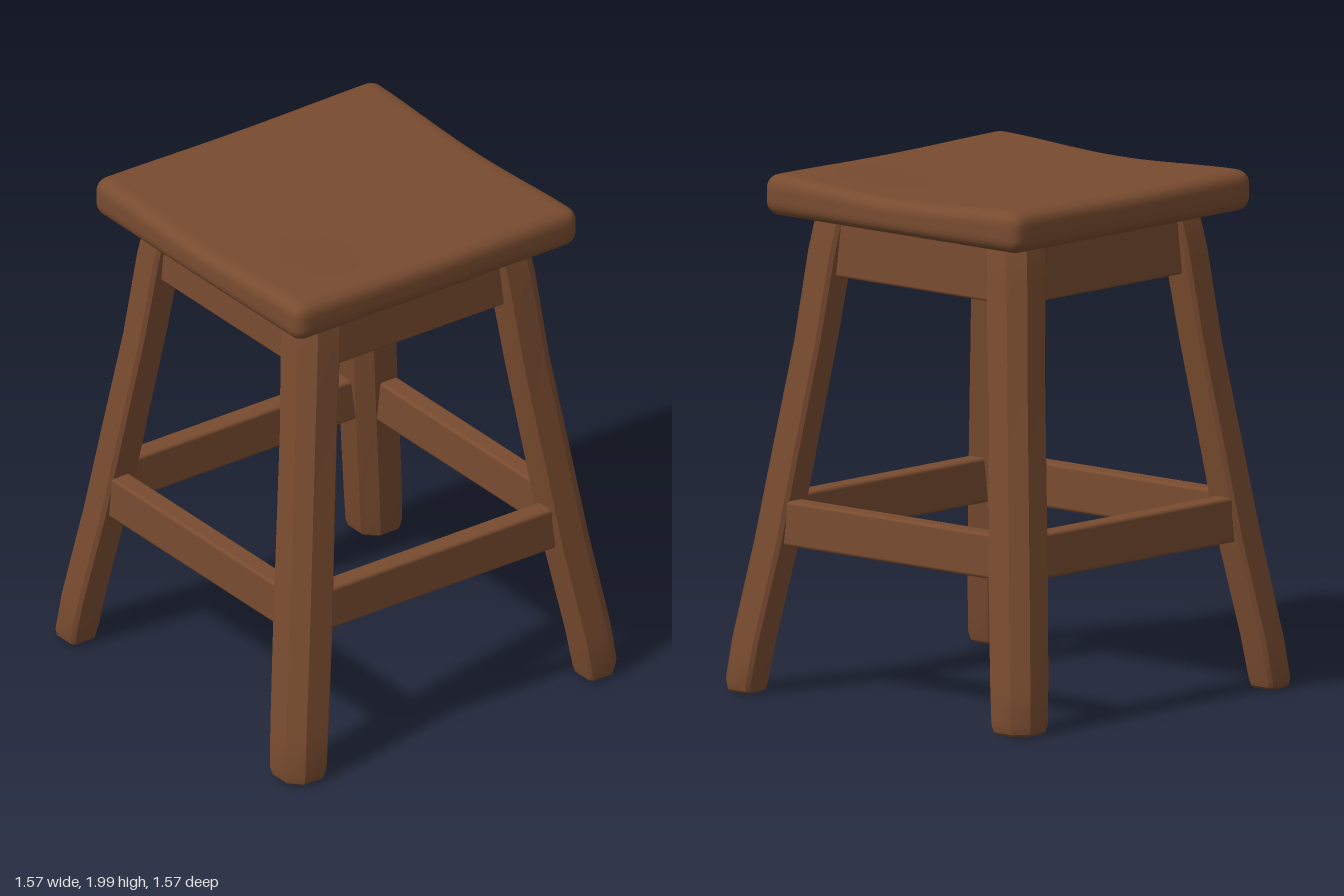
import * as THREE from 'three';
import { mergeVertices, toCreasedNormals } from 'three/addons/utils/BufferGeometryUtils.js';
import { RoundedBoxGeometry } from 'three/addons/geometries/RoundedBoxGeometry.js';

const wood = new THREE.MeshStandardMaterial({ color: 0x784b2f });
wood.name = 'brownWood';

function part(name, geometry) {
  const mesh = new THREE.Mesh(geometry, wood);
  mesh.name = name;
  return mesh;
}

// Rounded slab whose top dips gently between its left and right sides
function seatGeometry() {
  const half = new THREE.Vector3(0.658, 0.08, 0.672), r = 0.055;
  const inner = half.clone().subScalar(r);
  let geo = new THREE.BoxGeometry(half.x * 2, half.y * 2, half.z * 2, 56, 10, 56);
  geo.deleteAttribute('normal');
  geo.deleteAttribute('uv');
  geo = mergeVertices(geo);
  const pos = geo.attributes.position, p = new THREE.Vector3(), core = new THREE.Vector3();
  for (let i = 0; i < pos.count; i++) {
    p.fromBufferAttribute(pos, i);
    core.copy(p).clamp(inner.clone().negate(), inner);
    p.sub(core).setLength(r).add(core);
    const wave = (v, h) => Math.cos((v / h) * Math.PI / 2) ** 2;
    const upper = (p.y + half.y) / (2 * half.y);
    p.y -= upper * (0.024 * wave(p.x, half.x) + 0.007 * wave(p.z, half.z));
    pos.setXYZ(i, p.x, p.y, p.z);
  }
  geo.computeVertexNormals();
  return geo;
}

// Splayed leg: square section with a wide bevel on the outer and inner corners
function legGeometry() {
  const h = 0.085, a = 0.055, b = 0.014;
  const section = [
    [h, h - a], [h - a, h], [-h + b, h], [-h, h - b],
    [-h, -h + a], [-h + a, -h], [h - b, -h], [h, -h + b],
  ];
  // height, distance of centre from the middle, section scale
  const levels = [
    [0.005, 0.703, 0.72], [0.015, 0.703, 0.88], [0.045, 0.702, 0.97], [0.2, 0.683, 1],
    [0.58, 0.622, 1.02], [0.95, 0.572, 1], [1.35, 0.517, 0.98],
    [1.7, 0.477, 1.02], [1.79, 0.464, 1.01], [1.85, 0.455, 0.97],
  ];
  const n = section.length, verts = [], index = [];
  for (const [y, c, s] of levels)
    for (const [x, z] of section) verts.push(c + x * s, y, c + z * s);
  for (let j = 0; j < levels.length - 1; j++)
    for (let i = 0; i < n; i++) {
      const p = j * n + i, q = j * n + (i + 1) % n;
      index.push(p, p + n, q, q, p + n, q + n);
    }
  const top = (levels.length - 1) * n;
  for (let i = 1; i < n - 1; i++) {
    index.push(0, i, i + 1);
    index.push(top, top + i + 1, top + i);
  }
  const geo = new THREE.BufferGeometry();
  geo.setAttribute('position', new THREE.Float32BufferAttribute(verts, 3));
  geo.setIndex(index);
  return toCreasedNormals(geo, 0.5);
}

export function createModel() {
  const stool = new THREE.Group();
  stool.name = 'stool';

  const seat = part('seat', seatGeometry());
  seat.position.y = 1.92;
  stool.add(seat);

  const leg = legGeometry();
  const apron = new RoundedBoxGeometry(0.88, 0.235, 0.08, 2, 0.012);
  const stretcher = new RoundedBoxGeometry(1.13, 0.175, 0.085, 2, 0.014);

  // One leg, apron board and stretcher for each quarter turn
  const sides = ['front', 'left', 'back', 'right'];
  sides.forEach((side, i) => {
    const quarter = new THREE.Group();
    quarter.name = side + 'Frame';
    quarter.rotation.y = i * Math.PI / 2;
    const board = part(side + 'Apron', apron);
    board.position.set(0, 1.73, 0.49);
    const bar = part(side + 'Stretcher', stretcher);
    bar.position.set(0, 0.665, 0.635);
    quarter.add(part(side + 'Leg', leg), board, bar);
    stool.add(quarter);
  });
  return stool;
}
